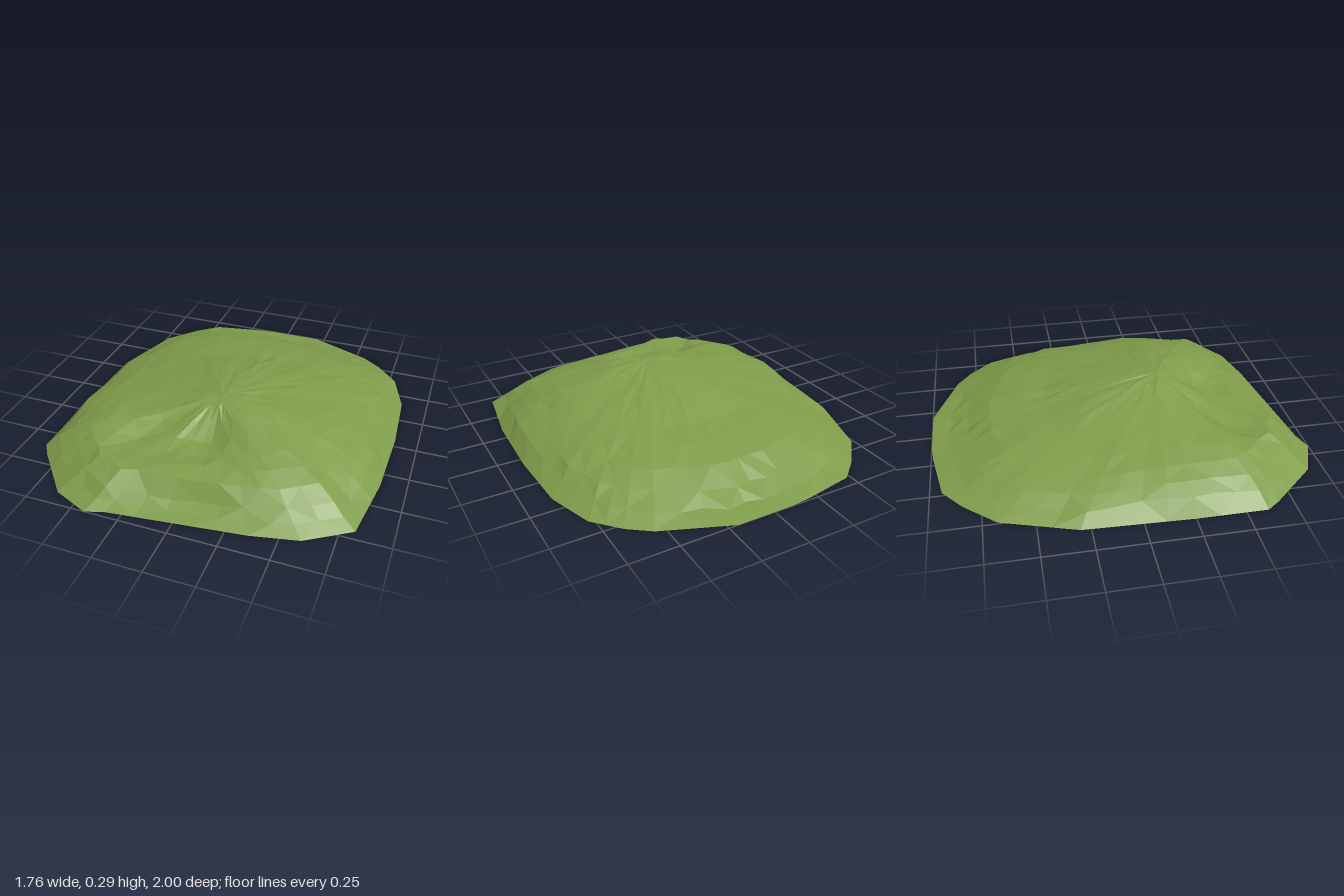
import * as THREE from 'three';

// Ground outline (x, z), clockwise seen from above
const OUTLINE = [
  [-0.1, -1], [0.2, -1], [0.55, -0.86], [0.66, -0.78], [0.78, -0.65], [0.86, -0.41],
  [0.88, -0.05], [0.87, 0.34], [0.82, 0.7], [0.6, 0.84], [0.36, 0.89], [-0.33, 0.97],
  [-0.43, 1], [-0.62, 0.92], [-0.83, 0.68], [-0.88, 0.61], [-0.88, 0.25], [-0.86, -0.3],
  [-0.74, -0.68], [-0.6, -0.84], [-0.48, -0.94], [-0.2, -0.99],
];
const PEAK = [0, 0.25];

// Fractions of the way from peak to outline, and slope heights at each one
const STEPS = [0, 0.1, 0.22, 0.35, 0.5, 0.62, 0.74, 0.84, 0.92, 1];
const right = [0.287, 0.285, 0.272, 0.258, 0.225, 0.193, 0.15, 0.115, 0.08, 0];
const SLOPES = [
  [0, right],
  [30, [0.287, 0.282, 0.265, 0.24, 0.21, 0.18, 0.14, 0.09, 0.04, 0]],
  [90, [0.287, 0.275, 0.21, 0.155, 0.145, 0.15, 0.13, 0.045, 0.02, 0]], // hollow and ledge
  [138, [0.287, 0.265, 0.22, 0.165, 0.137, 0.13, 0.145, 0.1, 0.045, 0]],
  [156, [0.287, 0.272, 0.24, 0.21, 0.19, 0.178, 0.15, 0.11, 0.065, 0]], // rim of the hollow
  [180, [0.287, 0.278, 0.25, 0.225, 0.2, 0.178, 0.15, 0.12, 0.085, 0]],
  [228, [0.287, 0.272, 0.245, 0.215, 0.175, 0.15, 0.115, 0.08, 0.04, 0]],
  [270, [0.287, 0.277, 0.253, 0.226, 0.17, 0.15, 0.115, 0.055, 0.015, 0]],
  [308, [0.287, 0.275, 0.25, 0.22, 0.185, 0.16, 0.125, 0.085, 0.04, 0]],
  [360, right],
];

// Height at a step, blended between the two nearest slopes
function heightAt(angle, step) {
  const i = Math.max(1, SLOPES.findIndex(([a]) => a >= angle));
  const [a0, s0] = SLOPES[i - 1];
  const [a1, s1] = SLOPES[i];
  return THREE.MathUtils.lerp(s0[step], s1[step], THREE.MathUtils.smoothstep(angle, a0, a1));
}

// Split long outline edges so the facets stay small
function fineOutline() {
  const points = [];
  OUTLINE.forEach(([x, z], i) => {
    const [x2, z2] = OUTLINE[(i + 1) % OUTLINE.length];
    const n = Math.ceil(Math.hypot(x2 - x, z2 - z) / 0.15);
    for (let k = 0; k < n; k++) points.push([x + (x2 - x) * k / n, z + (z2 - z) * k / n]);
  });
  return points;
}

function moundGeometry() {
  let seed = 7;
  const jitter = (amount) => {
    seed = (seed * 16807) % 2147483647;
    return (seed / 2147483647 - 0.5) * 2 * amount;
  };
  const rim = fineOutline();
  const n = rim.length;
  const last = STEPS.length - 1;
  const positions = [PEAK[0], STEPS[0] + right[0], PEAK[1]];
  const indices = [];

  // Rings of ground points, slightly roughened inside the outline
  for (let s = 1; s <= last; s++) {
    for (const [x, z] of rim) {
      const dx = x - PEAK[0], dz = z - PEAK[1];
      const angle = (THREE.MathUtils.radToDeg(Math.atan2(dz, dx)) + 360) % 360;
      const rough = s === last ? 0 : 1;
      const t = STEPS[s] + rough * jitter(0.012);
      const y = heightAt(angle, s) + rough * jitter(0.003);
      positions.push(PEAK[0] + dx * t, Math.max(0, y), PEAK[1] + dz * t);
    }
  }

  // Cap around the peak, then quads between rings
  for (let i = 0; i < n; i++) {
    const j = (i + 1) % n;
    indices.push(0, 1 + j, 1 + i);
    for (let s = 0; s < last - 1; s++) {
      const a = 1 + s * n + i, b = 1 + s * n + j;
      const c = a + n, d = b + n;
      if ((i + s) % 2) indices.push(a, b, c, b, d, c);
      else indices.push(a, d, c, a, b, d);
    }
  }
  const geometry = new THREE.BufferGeometry();
  geometry.setAttribute('position', new THREE.Float32BufferAttribute(positions, 3));
  geometry.setIndex(indices);
  geometry.computeVertexNormals();
  return geometry;
}

export function createModel() {
  const grass = new THREE.MeshStandardMaterial({
    color: 0x7f9c4a, flatShading: true, side: THREE.DoubleSide,
  });
  grass.name = 'grass green';

  // Open grassy shell with no underside
  const mound = new THREE.Mesh(moundGeometry(), grass);
  mound.name = 'grassMound';

  const group = new THREE.Group();
  group.name = 'grassyHill';
  group.add(mound);
  return group;
}
